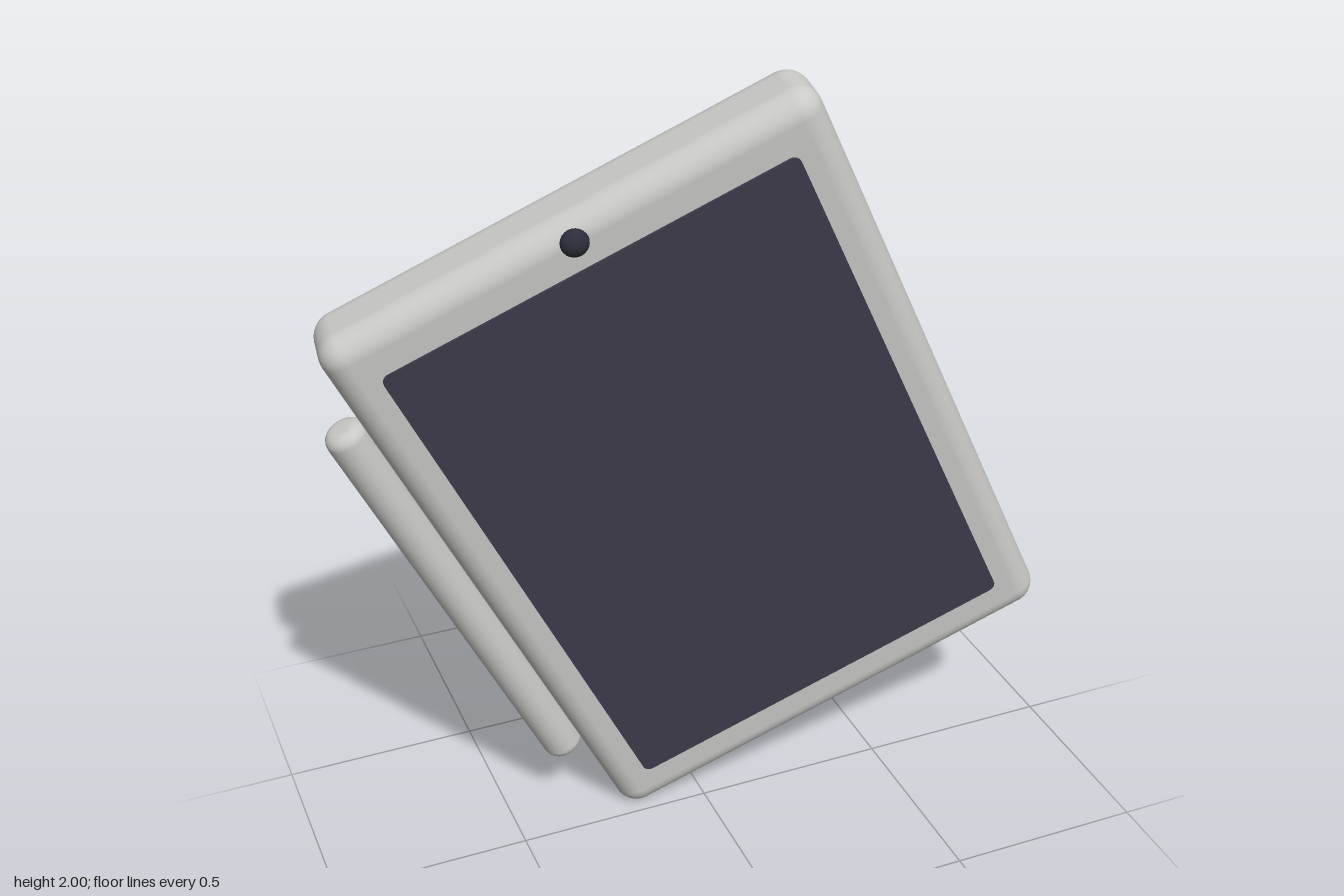
import * as THREE from 'three';
import { RoundedBoxGeometry } from 'three/addons/geometries/RoundedBoxGeometry.js';

const shell = new THREE.MeshStandardMaterial({ color: 0xc9c9c7 });
shell.name = 'light grey shell';
const glass = new THREE.MeshStandardMaterial({ color: 0x3f3b4c });
glass.name = 'dark screen glass';
const lens = new THREE.MeshStandardMaterial({ color: 0x2c2f3a });
lens.name = 'camera lens';

const WIDTH = 1.232, HEIGHT = 1.68, DEPTH = 0.19;

function part(name, geometry, material, x, y, z) {
  const mesh = new THREE.Mesh(geometry, material);
  mesh.name = name;
  mesh.position.set(x, y, z);
  return mesh;
}

// Rounded rectangle outline for the screen plate
function roundedRect(w, h, r) {
  const s = new THREE.Shape();
  const x = w / 2 - r, y = h / 2 - r;
  s.absarc(x, y, r, 0, Math.PI / 2);
  s.absarc(-x, y, r, Math.PI / 2, Math.PI);
  s.absarc(-x, -y, r, Math.PI, Math.PI * 1.5);
  s.absarc(x, -y, r, Math.PI * 1.5, Math.PI * 2);
  s.closePath();
  return s;
}

// Round rod with softly rounded ends
function stylusGeometry(radius, length, bevel) {
  const pts = [new THREE.Vector2(0, -length / 2)];
  for (const side of [-1, 1]) {
    for (let i = 0; i <= 5; i++) {
      const a = (side * (side < 0 ? 5 - i : i) / 5) * Math.PI / 2;
      pts.push(new THREE.Vector2(
        radius - bevel + bevel * Math.cos(a),
        side * (length / 2 - bevel) + bevel * Math.sin(a)));
    }
  }
  pts.push(new THREE.Vector2(0, length / 2));
  return new THREE.LatheGeometry(pts, 24);
}

export function createModel() {
  const tablet = new THREE.Group();
  tablet.name = 'tablet';

  // Body
  tablet.add(part('body', new RoundedBoxGeometry(WIDTH, HEIGHT, DEPTH, 6, 0.06), shell, 0, 0, 0));

  // Screen plate, barely proud of the front
  const plate = new THREE.ExtrudeGeometry(roundedRect(1.03, 1.436, 0.02),
    { depth: 0.008, bevelEnabled: false, curveSegments: 5 });
  tablet.add(part('screen', plate, glass, 0, 0, DEPTH / 2 - 0.002));

  // Camera button above the screen
  const camera = part('camera', new THREE.SphereGeometry(0.033, 20, 14), lens, 0, 0.787, DEPTH / 2);
  camera.scale.z = 0.75;
  tablet.add(camera);

  // Stylus clipped along the side
  tablet.add(part('stylus', stylusGeometry(0.052, 1.19, 0.03), shell, -0.668, 0, 0));

  // Lean and turn the whole tablet
  const across = new THREE.Vector3(0.905, 0.426, 0.146).normalize();
  const normal = across.clone().cross(new THREE.Vector3(-0.426, 0.905, 0.03)).normalize();
  const up = normal.clone().cross(across);
  tablet.quaternion.setFromRotationMatrix(new THREE.Matrix4().makeBasis(across, up, normal));

  const model = new THREE.Group();
  model.name = 'tabletWithStylus';
  model.add(tablet);

  // Stand on the ground, centred
  model.updateMatrixWorld(true);
  const box = new THREE.Box3().setFromObject(model, true);
  const c = box.getCenter(new THREE.Vector3());
  tablet.position.set(-c.x, -box.min.y, -c.z);
  return model;
}
